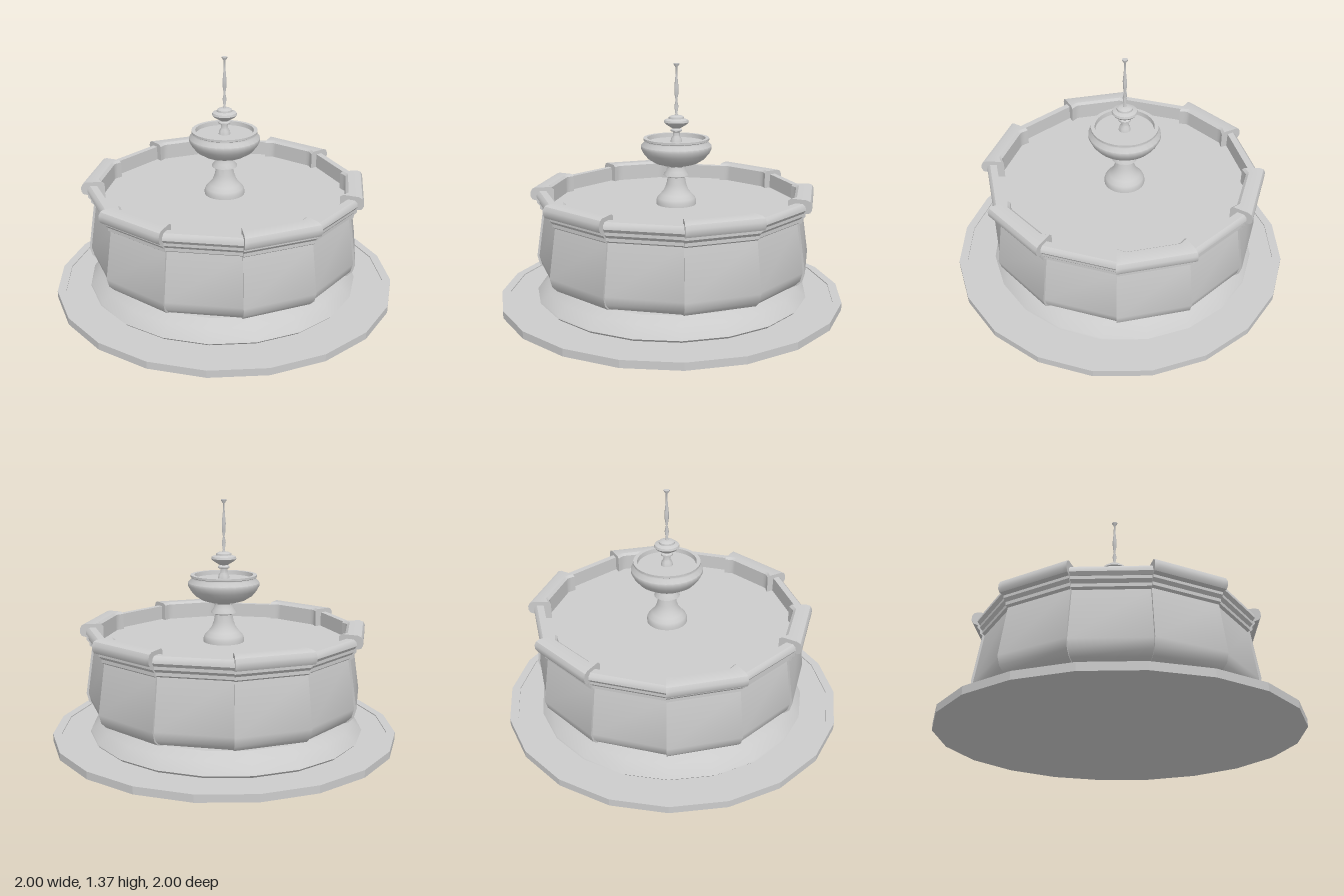
import * as THREE from 'three';
import { toCreasedNormals } from 'three/addons/utils/BufferGeometryUtils.js';

const material = new THREE.MeshStandardMaterial({ color: 0xcccccc, side: THREE.DoubleSide });
const SIDES = 12;

function addMesh(parent, name, geometry) {
  const mesh = new THREE.Mesh(geometry, material);
  mesh.name = name;
  parent.add(mesh);
  return mesh;
}

// Turned part from [radius, height] points, with sharp edges kept
function turned(points, segments, crease = 0.7) {
  const profile = points.map(([r, y]) => new THREE.Vector2(r, y));
  return toCreasedNormals(new THREE.LatheGeometry(profile, segments), crease);
}

// One mitred side of the polygonal basin: a [distance, height] section swept along the side.
// hook pulls the inner edge inwards near both ends.
function basinSide(section, hook = 0) {
  const shape = new THREE.Shape(section.map(([r, y]) => new THREE.Vector2(r, y)));
  const geometry = new THREE.ExtrudeGeometry(shape, { depth: 2, steps: hook ? 16 : 1, bevelEnabled: false });
  const p = geometry.attributes.position;
  const slope = Math.tan(Math.PI / SIDES);
  for (let i = 0; i < p.count; i++) {
    const t = p.getZ(i) - 1;
    let r = p.getX(i);
    if (r < 0.72) r -= hook * Math.max(0, (Math.abs(t) - 0.75) / 0.25);
    p.setXYZ(i, r, p.getY(i), t * r * slope);
  }
  return toCreasedNormals(geometry, 0.65);
}

function wallSection(inset) {
  const outer = [
    [0.68, 0.155], [0.735, 0.175], [0.763, 0.205], [0.776, 0.255], [0.736, 0.53],
    [0.75, 0.54], [0.75, 0.558], [0.765, 0.575], [0.765, 0.6],
  ].map(([r, y]) => [r - inset, y]);
  return [...outer, [0.712, 0.6], [0.712, 0.5], [0.64, 0.3], [0.64, 0.155]];
}

export function createModel() {
  const model = new THREE.Group();
  model.name = 'fountain';

  // Ground slab with a shallow raised lip
  addMesh(model, 'groundSlab', turned([
    [0, 0], [1, 0], [1, 0.042], [0.95, 0.042], [0.95, 0.036], [0, 0.036],
  ], 20, 0.2));

  // Sloping plinth under the basin
  const plinth = addMesh(model, 'plinth', turned([
    [0.78, 0.034], [0.795, 0.05], [0.79, 0.058], [0.735, 0.105], [0.705, 0.135], [0.695, 0.145], [0, 0.145],
  ], 20));
  plinth.position.set(-0.015, 0, -0.005);

  // Twelve-sided basin with alternating broad and narrow coping stones
  const basin = new THREE.Group();
  basin.name = 'basin';
  basin.position.set(-0.007, 0, -0.016);
  model.add(basin);

  const broadWall = basinSide(wallSection(0));
  const narrowWall = basinSide(wallSection(0.012));
  const broadCoping = basinSide([
    [0.765, 0.59], [0.79, 0.597], [0.8, 0.615], [0.8, 0.64], [0.79, 0.66], [0.77, 0.668],
    [0.715, 0.668], [0.7, 0.655], [0.7, 0.5], [0.765, 0.5],
  ].slice(0, 9).concat([[0.718, 0.5], [0.725, 0.59]]), 0.03);
  const narrowCoping = basinSide([
    [0.72, 0.59], [0.755, 0.592], [0.768, 0.61], [0.765, 0.63], [0.75, 0.645],
    [0.712, 0.645], [0.708, 0.5], [0.72, 0.5],
  ]);
  for (let i = 0; i < SIDES; i++) {
    const broad = i % 2 === 0;
    const side = new THREE.Group();
    side.name = broad ? 'broadSide' : 'narrowSide';
    side.rotation.y = ((i + 0.5) * 2 * Math.PI) / SIDES;
    addMesh(side, 'wall', broad ? broadWall : narrowWall);
    addMesh(side, 'coping', broad ? broadCoping : narrowCoping);
    basin.add(side);
  }

  // Water surface and underside close the basin
  for (const [name, radius, y, turn] of [['water', 0.735, 0.56, -1], ['basinFloor', 0.7, 0.157, 1]]) {
    const disc = addMesh(basin, name, new THREE.CircleGeometry(radius, SIDES));
    disc.rotation.x = (turn * Math.PI) / 2;
    disc.position.y = y;
  }

  // Centrepiece
  const centre = new THREE.Group();
  centre.name = 'centrepiece';
  centre.position.set(-0.013, 0, -0.031);
  model.add(centre);

  addMesh(centre, 'pedestal', turned([
    [0.117, 0.555], [0.117, 0.58], [0.11, 0.598], [0.09, 0.62], [0.07, 0.645], [0.057, 0.68], [0.05, 0.72],
    [0.055, 0.728], [0.074, 0.73], [0.072, 0.738], [0.058, 0.755], [0.052, 0.78], [0.07, 0.786], [0.07, 0.795],
  ], 32));

  addMesh(centre, 'bowl', turned([
    [0, 0.79], [0.08, 0.792], [0.125, 0.805], [0.165, 0.83], [0.19, 0.86], [0.205, 0.89], [0.204, 0.905],
    [0.185, 0.925], [0.183, 0.933], [0.19, 0.937], [0.19, 0.949], [0.168, 0.949], [0.165, 0.925], [0, 0.925],
  ], 32));

  addMesh(centre, 'upperCup', turned([
    [0.035, 0.92], [0.03, 0.945], [0.02, 0.96], [0.02, 0.982], [0.034, 0.988], [0.034, 0.996], [0.023, 1.004],
    [0.04, 1.014], [0.062, 1.028], [0.072, 1.04], [0.068, 1.052], [0.045, 1.06], [0.043, 1.07], [0.03, 1.077],
    [0, 1.08],
  ], 24));

  addMesh(centre, 'waterSpout', turned([
    [0.014, 1.07], [0.006, 1.09], [0.012, 1.13], [0.005, 1.165], [0.011, 1.2], [0.012, 1.24],
    [0.006, 1.3], [0.005, 1.35], [0.017, 1.367], [0.017, 1.372], [0, 1.372],
  ], 8, 1));

  return model;
}
